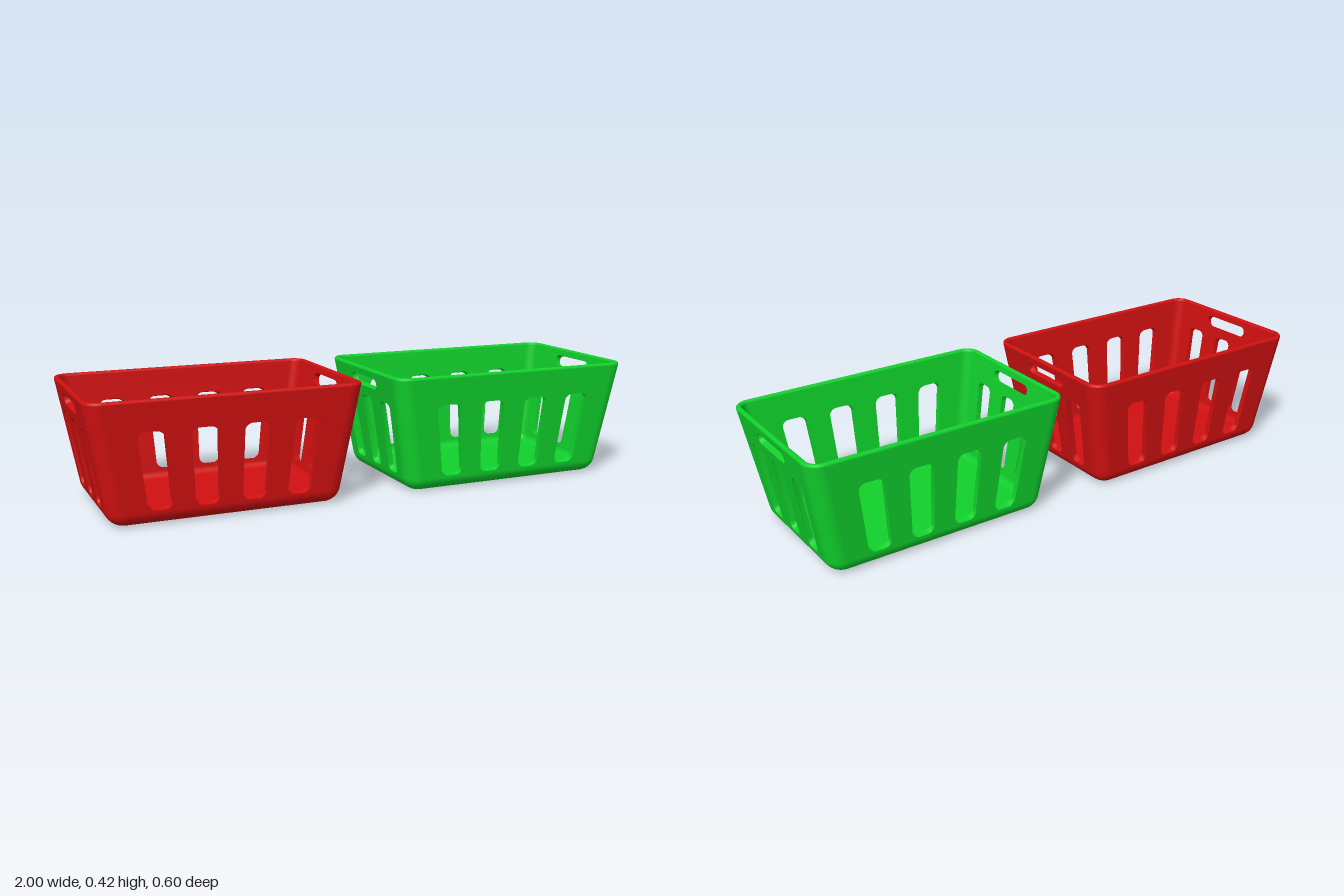
import * as THREE from 'three';
import { mergeGeometries, toCreasedNormals } from 'three/addons/utils/BufferGeometryUtils.js';

const T = 0.02;       // wall thickness
const R = 0.055;      // vertical corner radius
const Y0 = 0.045;     // where the straight walls begin
const Y1 = 0.41;      // where the rounded rim begins
const SEG = 8;        // segments per quarter turn
const halfX = y => 0.397 + 0.176 * y;
const halfZ = y => 0.257 + 0.103 * y;

// Skin rounded-rectangle rings. Ring: [inset, height, normal elevation, scale]
function loft(rings, quads, closed) {
  const pos = [], nor = [], idx = [];
  const n = quads.length * (SEG + 1);
  for (const [d, y, e, k = 1] of rings) {
    const r = Math.max(R - d, 0.006);
    for (const q of quads) {
      const sx = q === 0 || q === 3 ? 1 : -1, sz = q < 2 ? 1 : -1;
      for (let i = 0; i <= SEG; i++) {
        const a = (q + i / SEG) * Math.PI / 2, c = Math.cos(a), s = Math.sin(a);
        pos.push(k * (sx * (halfX(y) - d - r) + r * c), y, k * (sz * (halfZ(y) - d - r) + r * s));
        nor.push(c * Math.cos(e), Math.sin(e), s * Math.cos(e));
      }
    }
  }
  for (let j = 0; j < rings.length - 1; j++) {
    for (let i = 0; i < (closed ? n : n - 1); i++) {
      const a = j * n + i, b = j * n + (i + 1) % n;
      idx.push(a, a + n, b, b, a + n, b + n);
    }
  }
  const g = new THREE.BufferGeometry();
  g.setAttribute('position', new THREE.Float32BufferAttribute(pos, 3));
  g.setAttribute('normal', new THREE.Float32BufferAttribute(nor, 3));
  g.setIndex(idx);
  return g;
}

// Rounded rectangular opening
function slot(cx, hw, y0, y1, r) {
  const p = new THREE.Path(), a = cx - hw, b = cx + hw, H = Math.PI / 2;
  p.moveTo(a + r, y0);
  p.absarc(b - r, y0 + r, r, -H, 0);
  p.absarc(b - r, y1 - r, r, 0, H);
  p.absarc(a + r, y1 - r, r, H, 2 * H);
  p.absarc(a + r, y0 + r, r, 2 * H, 3 * H);
  return p;
}

// Flat wall with openings, flared and leaned outward to fit between the corners
function wall(along, out, holes) {
  const w = along(Y0) - R;
  const shape = new THREE.Shape([[-w, Y0], [w, Y0], [w, Y1], [-w, Y1]].map(p => new THREE.Vector2(...p)));
  shape.holes.push(...holes);
  const g = new THREE.ExtrudeGeometry(shape, { depth: T, bevelEnabled: false, curveSegments: 6 });
  const p = g.attributes.position;
  for (let i = 0; i < p.count; i++) {
    const z = p.getZ(i);
    let y = p.getY(i);
    if (y > Y0 + 1e-4 && y < Y1 - 1e-4) y += 0.3 * (T - z); // openings rise inward
    p.setXYZ(i, p.getX(i) * (along(y) - R) / w, y, out(y) - T + z);
  }
  g.computeVertexNormals();
  return toCreasedNormals(g, 0.6);
}

function createGeometries() {
  const H = Math.PI / 2, steps = [...Array(SEG + 1).keys()].map(i => i / SEG);
  const fi = Y0 - T; // inner fillet radius
  // Base: underside, outer fillet, inner fillet, floor
  const base = loft([
    [Y0, 0, -H, 0],
    ...steps.map(s => [Y0 * (1 - Math.sin(s * H)), Y0 * (1 - Math.cos(s * H)), -H * (1 - s) - 0.12 * s]),
    ...steps.map(s => [T + fi * (1 - Math.cos(s * H)), Y0 - fi * Math.sin(s * H), Math.PI - s * H - 0.12 * (1 - s)]),
    [T + fi, T, H, 0],
  ], [0, 1, 2, 3], true);
  // Rim: half-round bead
  const rim = loft(steps.map(s => [
    T / 2 * (1 - Math.cos(s * Math.PI)), Y1 + T / 2 * Math.sin(s * Math.PI), s * Math.PI,
  ]), [0, 1, 2, 3], true);
  // Corners: outer and inner skins
  const corners = mergeGeometries([0, 1, 2, 3].flatMap(q => [
    loft([[0, Y0, -0.12], [0, Y1, -0.12]], [q], false),
    loft([[T, Y1, Math.PI - 0.12], [T, Y0, Math.PI - 0.12]], [q], false),
  ]));
  const sideWall = wall(halfX, halfZ, [-0.235, -0.079, 0.079, 0.235].map(x => slot(x, 0.04, 0.051, 0.315, 0.024)));
  const endWall = wall(halfZ, halfX, [
    ...[-0.134, 0, 0.134].map(x => slot(x, 0.0335, 0.051, 0.313, 0.02)),
    slot(0, 0.088, 0.348, 0.388, 0.0195), // hand grip
  ]);
  return { base, rim, corners, sideWall, endWall };
}

export function createModel() {
  const model = new THREE.Group();
  const geo = createGeometries();
  for (const [name, x, color] of [['redBasket', -0.53, 0xd01010], ['greenBasket', 0.53, 0x10d02c]]) {
    const basket = new THREE.Group();
    const material = new THREE.MeshStandardMaterial({ color });
    const add = (part, g, turn = 0) => {
      const m = new THREE.Mesh(g, material);
      m.name = part;
      m.rotation.y = turn;
      basket.add(m);
    };
    add('base', geo.base);
    add('rim', geo.rim);
    add('corners', geo.corners);
    add('frontWall', geo.sideWall);
    add('backWall', geo.sideWall, Math.PI);
    add('leftWall', geo.endWall, Math.PI / 2);
    add('rightWall', geo.endWall, -Math.PI / 2);
    basket.name = name;
    basket.position.x = x;
    model.add(basket);
  }
  return model;
}
